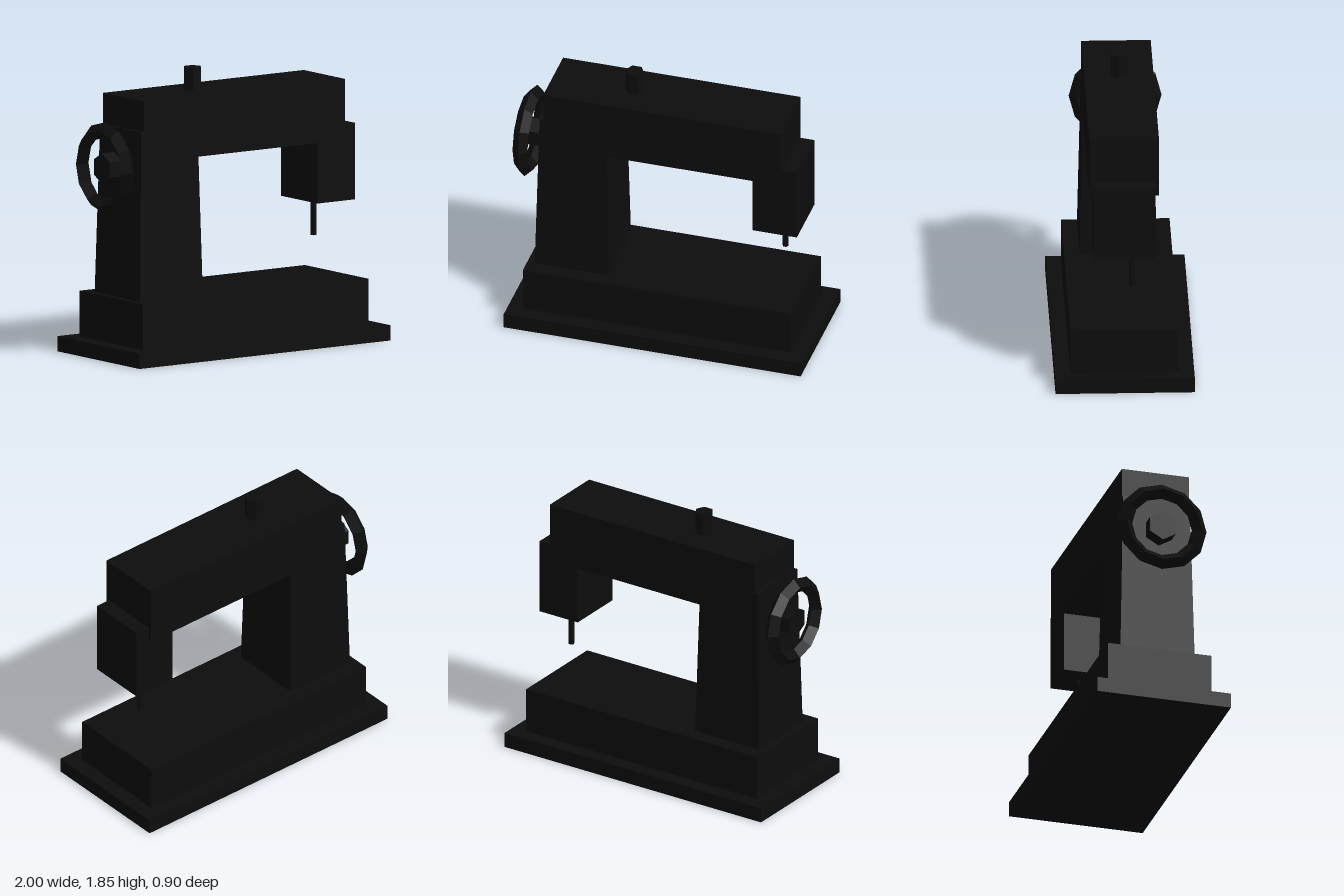
import * as THREE from 'three';

export function createModel() {
  const group = new THREE.Group();
  const black = new THREE.MeshStandardMaterial({ color: 0x0d0d0d, flatShading: true });
  black.name = 'black enamel';

  const add = (name, geometry, x, y, z) => {
    const mesh = new THREE.Mesh(geometry, black);
    mesh.name = name;
    mesh.position.set(x, y, z);
    group.add(mesh);
    return mesh;
  };
  // Box given by its width, depth and the heights of its bottom and top
  const block = (name, w, d, y0, y1, x = 0) =>
    add(name, new THREE.BoxGeometry(w, y1 - y0, d), x, (y0 + y1) / 2, 0);

  // Stepped base
  block('basePlate', 2, 0.9, 0, 0.1);
  block('bed', 1.8, 0.7, 0.1, 0.4);

  // Column, narrowing to nine tenths at its top
  const column = new THREE.BoxGeometry(0.5, 1.1, 0.5);
  const p = column.attributes.position;
  for (let i = 0; i < p.count; i++) {
    if (p.getY(i) > 0) p.setXYZ(i, p.getX(i) * 0.9, p.getY(i), p.getZ(i) * 0.9);
  }
  column.computeVertexNormals();
  add('column', column, -0.6, 0.95, 0);

  // Arm, needle head and needle
  block('arm', 1.6, 0.45, 1.3, 1.7);
  block('head', 0.3, 0.4, 0.9, 1.4, 0.75);
  add('needle', new THREE.CylinderGeometry(0.02, 0.02, 0.25, 6, 1, false, Math.PI / 2), 0.75, 0.775, -0.05);

  // Hexagonal thread pin on top
  add('threadPin', new THREE.CylinderGeometry(0.06, 0.06, 0.15, 6, 1, false, Math.PI / 2), -0.25, 1.775, 0);

  // Hand wheel: diamond-section rim and hexagonal hub
  add('wheelRim', new THREE.TorusGeometry(0.25, 0.05, 4, 12), -0.95, 1.25, 0).rotation.y = Math.PI / 2;
  add('wheelHub', new THREE.CylinderGeometry(0.1, 0.1, 0.1, 6, 1, false, Math.PI / 2), -0.925, 1.25, 0)
    .rotation.z = Math.PI / 2;

  return group;
}
